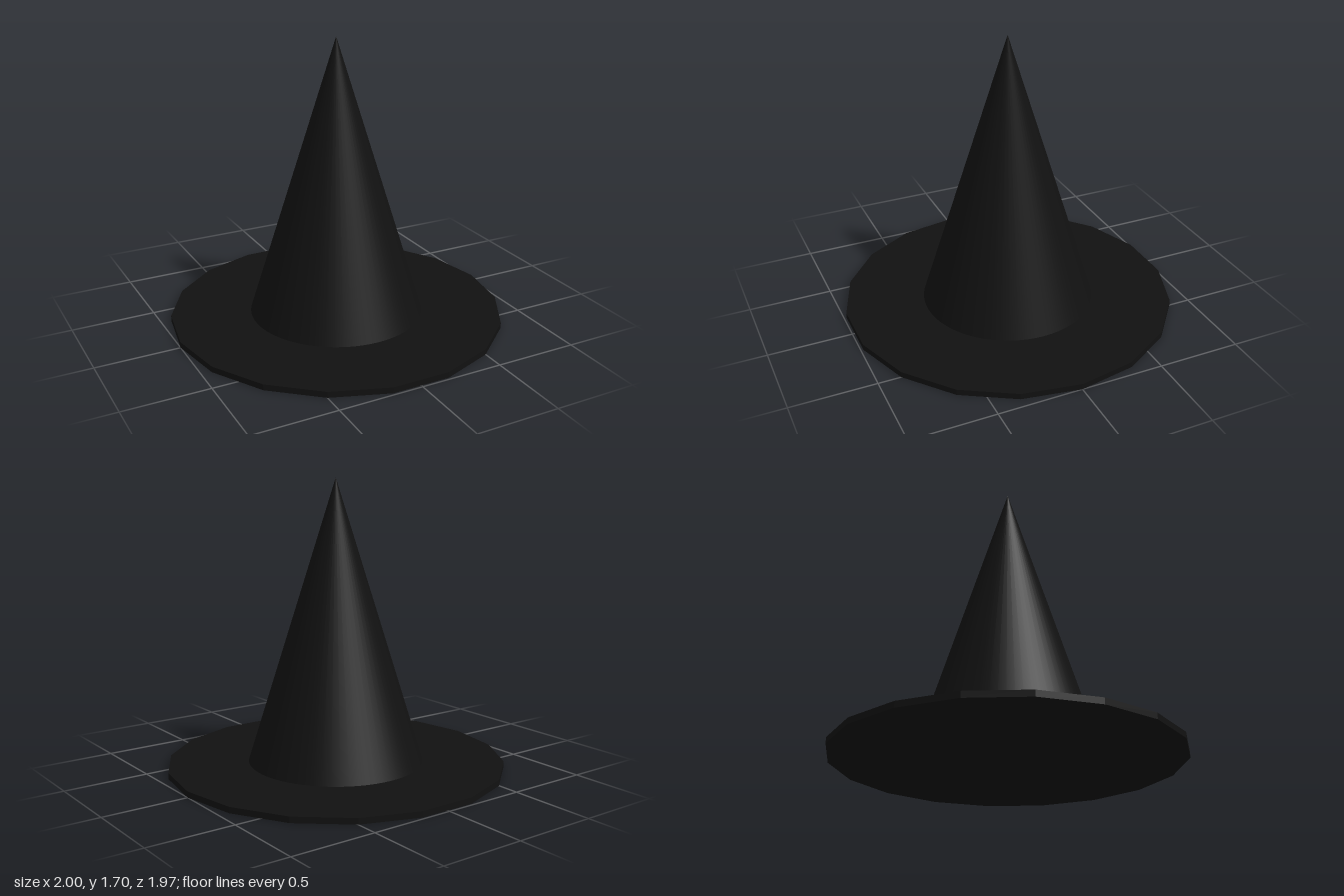
import * as THREE from 'three';

export function createModel() {
  const hat = new THREE.Group();
  hat.name = 'pointedHat';
  const black = new THREE.MeshStandardMaterial({ color: 0x111111 });
  const brimHeight = 0.035;
  const crownHeight = 1.67;

  // flat eighteen-sided brim, with corners on the x axis
  const brim = new THREE.Mesh(
    new THREE.CylinderGeometry(1, 1, brimHeight, 18),
    black.clone()
  );
  brim.material.flatShading = true;
  brim.name = 'brim';
  brim.rotation.y = Math.PI / 2;
  brim.position.y = brimHeight / 2;
  hat.add(brim);

  // smooth pointed crown standing on the brim
  const crown = new THREE.Mesh(
    new THREE.ConeGeometry(0.52, crownHeight, 64),
    black
  );
  crown.name = 'crown';
  crown.position.y = brimHeight + crownHeight / 2;
  hat.add(crown);

  return hat;
}
